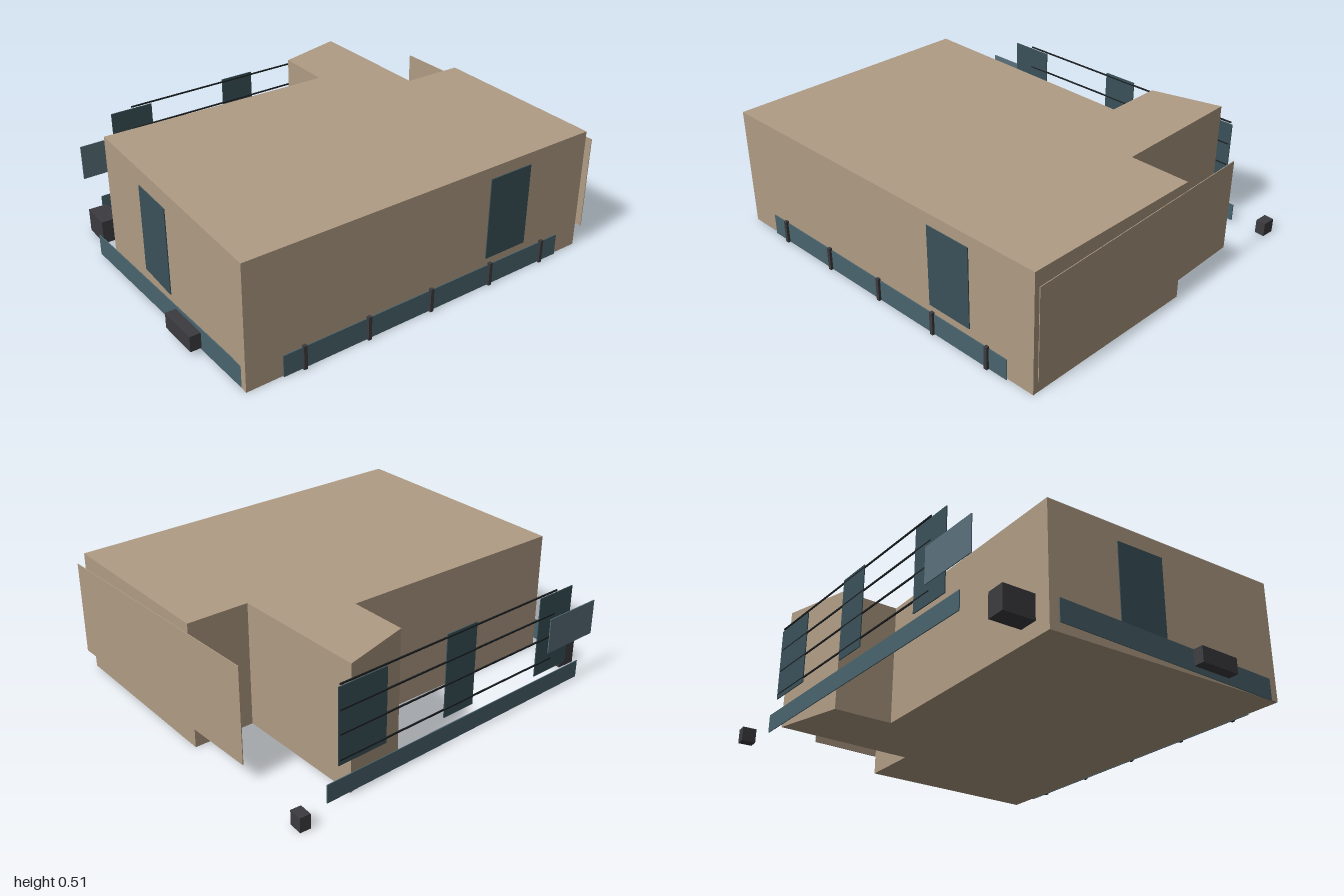
import * as THREE from 'three';

const mat = (color) => new THREE.MeshStandardMaterial({ color });
const wallMat = mat(0xb09c84);
const stripMat = mat(0x4a646d);
const glassMat = mat(0x3a5159);
const paleMat = mat(0x5a717b);
const darkMat = mat(0x3c3c40);
const wireMat = mat(0x1c2022);

const ROOF = 0.515;

export function createModel() {
  const model = new THREE.Group();

  const add = (name, geometry, material) => {
    const mesh = new THREE.Mesh(geometry, material);
    mesh.name = name;
    model.add(mesh);
    return mesh;
  };

  // Upright slab standing along the plan line a-b, each point given as [x, z]
  const slab = (name, a, b, y0, y1, material, thick = 0.004) => {
    const dx = b[0] - a[0], dz = b[1] - a[1];
    const mesh = add(name, new THREE.BoxGeometry(Math.hypot(dx, dz), y1 - y0, thick), material);
    mesh.position.set((a[0] + b[0]) / 2, (y0 + y1) / 2, (a[1] + b[1]) / 2);
    mesh.rotation.y = Math.atan2(-dz, dx);
    return mesh;
  };

  // Main block with its stepped footprint
  const plan = [
    [-0.625, -0.61], [-1, 0.4], [0.525, 0.875], [0.785, 0.13],
    [0.54, 0.05], [0.72, -0.505], [0.415, -0.52], [0.335, -0.285],
  ];
  const shape = new THREE.Shape(plan.map(([x, z]) => new THREE.Vector2(x, -z)));
  const block = new THREE.ExtrudeGeometry(shape, { depth: ROOF, bevelEnabled: false });
  block.rotateX(-Math.PI / 2);
  add('building', block, wallMat);

  // Free-standing sheet beside the right wall
  slab('sidePanel', [0.55, 0.89], [0.875, -0.16], 0.08, 0.475, wallMat, 0.003);

  // Front: low strip, posts and door, all parallel to the front wall
  const front = (x, out = 0) => [x, 0.4 + (x + 1) * 0.3115 + out];
  slab('frontStrip', front(-0.86, 0.006), front(0.41, 0.006), 0, 0.09, stripMat);
  for (const x of [-0.78, -0.51, -0.23, 0.055, 0.32]) {
    slab('frontPost', front(x - 0.007, 0.012), front(x + 0.007, 0.012), 0, 0.1, darkMat, 0.014);
  }
  slab('frontDoor', front(0.04, 0.002), front(0.235, 0.002), 0.12, 0.465, glassMat);

  // Left-hand end wall: strip, door and low box
  const side = (t, out = 0) => [-0.625 - 0.375 * t - out, -0.61 + 1.01 * t - out * 0.37];
  slab('sideStrip', [-0.68, -0.635], [-0.996, 0.4], 0, 0.09, stripMat);
  slab('sideDoor', side(0.29, 0.002), side(0.486, 0.002), 0.08, 0.445, glassMat);
  slab('sideBox', [-0.89, -0.045], [-0.945, 0.125], 0.02, 0.085, darkMat, 0.045);

  // Back: fence line of strip, panels and wires
  const back = (x, out = 0) => [x, -0.475 - (0.825 - x) * 0.31 - out];
  slab('backStrip', back(-0.45), back(0.825), 0.01, 0.085, stripMat);
  for (const [x0, x1, y0, y1] of [
    [0.567, 0.777, 0.14, 0.45],
    [0.148, 0.293, 0.125, 0.47],
    [-0.37, -0.19, 0.11, 0.45],
  ]) slab('backPanel', back(x0), back(x1), y0, y1, glassMat);
  slab('backSign', back(-0.513, 0.004), back(-0.256, 0.004), 0.19, 0.34, paleMat);
  for (const y of [0.16, 0.262, 0.358, 0.458]) {
    slab('backWire', back(-0.28), back(0.77), y - 0.003, y + 0.003, wireMat, 0.005);
  }

  // Loose boxes at the two ends of the fence
  slab('largeBox', [-0.538, -0.796], [-0.582, -0.672], 0, 0.1, darkMat, 0.08);
  slab('smallBox', [0.977, -0.489], [0.956, -0.436], 0, 0.06, darkMat, 0.043);

  return model;
}
